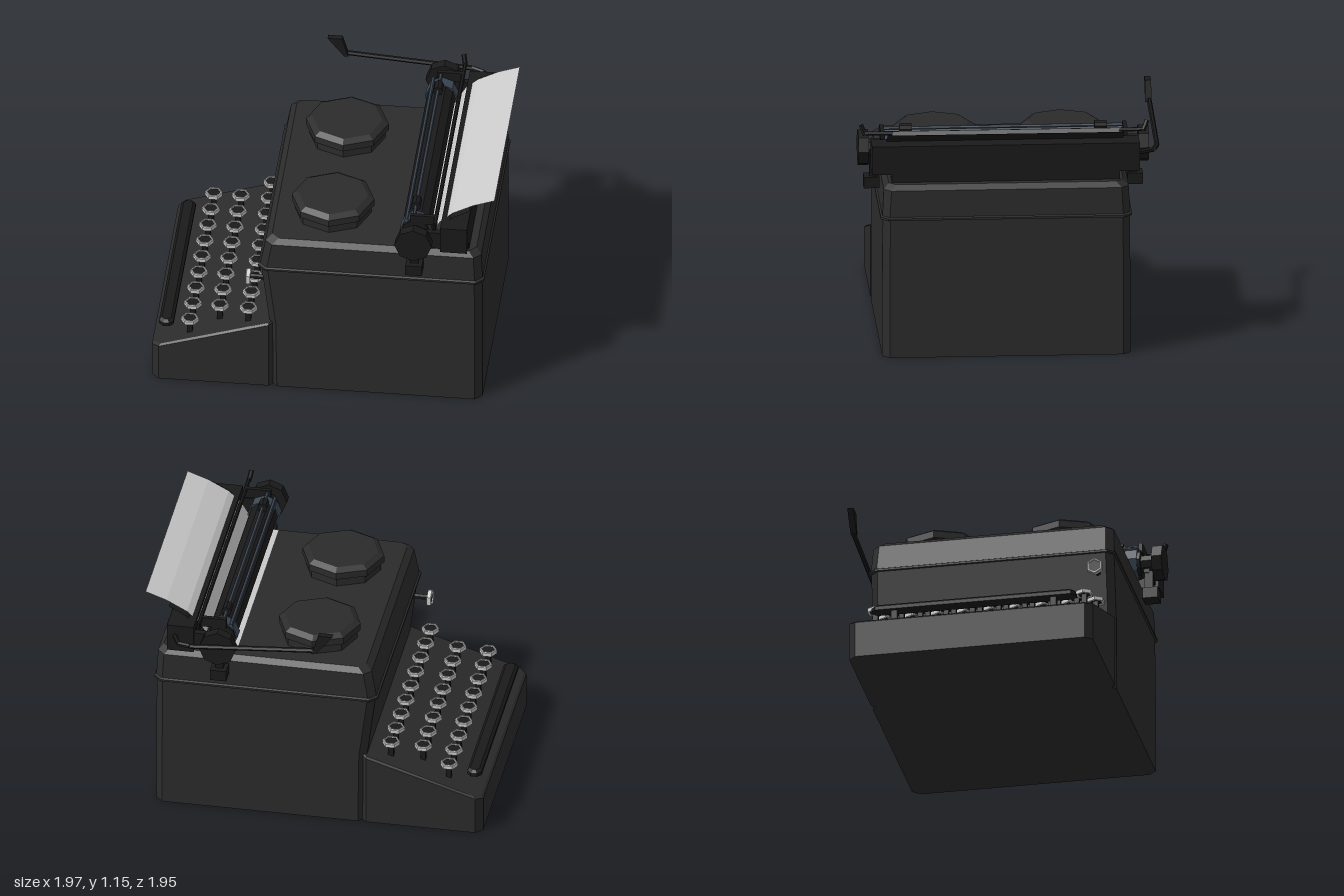
import * as THREE from 'three';

const mat = (color, side = THREE.FrontSide) =>
  new THREE.MeshStandardMaterial({ color, side, flatShading: true });
const shell = mat(0x2b2b2b), black = mat(0x1a1a1a), steel = mat(0x3c4856);
const grey = mat(0xcccccc), sheet = mat(0xcccccc, THREE.DoubleSide);

function add(parent, name, geometry, material, x = 0, y = 0, z = 0) {
  const mesh = new THREE.Mesh(geometry, material);
  mesh.name = name;
  mesh.position.set(x, y, z);
  parent.add(mesh);
  return mesh;
}

const box = (parent, name, m, w, h, d, x, y, z) =>
  add(parent, name, new THREE.BoxGeometry(w, h, d), m, x, y, z);

// Cylinder lying along x
function roller(parent, name, m, r, length, x, y, z, sides = 8) {
  const g = new THREE.CylinderGeometry(r, r, length, sides).rotateZ(Math.PI / 2);
  return add(parent, name, g, m, x, y, z);
}

// Straight round bar between two points
function bar(parent, name, m, r, a, b) {
  const path = new THREE.LineCurve3(new THREE.Vector3(...a), new THREE.Vector3(...b));
  return add(parent, name, new THREE.TubeGeometry(path, 1, r, 6), m);
}

// Stack of corner-cut rectangles: { y, yBack, w, front, back, cut }
function loft(rings) {
  const loops = rings.map(({ y, yBack = y, w, front, back, cut }) => {
    const c = cut;
    const pts = [[w - c, front], [w, front - c], [w, back + c], [w - c, back],
      [c - w, back], [-w, back + c], [-w, front - c], [c - w, front]];
    return pts.map(([x, z]) => [x, y + (yBack - y) * (front - z) / (front - back), z]);
  });
  const out = [];
  const tri = (...p) => p.forEach((v) => out.push(...v));
  for (let j = 0; j < 8; j++) {
    const k = (j + 1) % 8;
    for (let i = 0; i + 1 < loops.length; i++) {
      const [a, b, c, d] = [loops[i][j], loops[i][k], loops[i + 1][k], loops[i + 1][j]];
      tri(a, b, c);
      tri(a, c, d);
    }
    if (j > 0 && j < 7) {
      const top = loops[loops.length - 1], bottom = loops[0];
      tri(top[0], top[j], top[k]);
      tri(bottom[0], bottom[k], bottom[j]);
    }
  }
  const g = new THREE.BufferGeometry();
  g.setAttribute('position', new THREE.Float32BufferAttribute(out, 3));
  g.computeVertexNormals();
  return g;
}

// Hexagonal key top: grey ring round a dark pad
function keyTop(parent, name) {
  const key = new THREE.Group();
  key.name = name;
  const profile = [[0.031, -0.01], [0.043, -0.01], [0.043, 0.008], [0.039, 0.012],
    [0.033, 0.012], [0.031, -0.01]].map(([r, y]) => new THREE.Vector2(r, y));
  add(key, 'keyRing', new THREE.LatheGeometry(profile, 6), grey);
  add(key, 'keyPad', new THREE.CylinderGeometry(0.033, 0.033, 0.012, 6), black);
  parent.add(key);
  return key;
}

function createBody(parent) {
  const cut = 0.035;
  add(parent, 'housing', loft([
    { y: 0, w: 0.598, front: 0.23, back: -0.797, cut },
    { y: 0.37, w: 0.598, front: 0.235, back: -0.797, cut },
    { y: 0.69, w: 0.595, front: 0.275, back: -0.795, cut },
    { y: 0.69, w: 0.606, front: 0.288, back: -0.805, cut },
    { y: 0.7, w: 0.606, front: 0.288, back: -0.805, cut },
    { y: 0.705, w: 0.597, front: 0.279, back: -0.797, cut },
    { y: 0.835, w: 0.59, front: 0.255, back: -0.79, cut },
    { y: 0.86, w: 0.565, front: 0.225, back: -0.765, cut },
  ]), shell);
  add(parent, 'keyboardBase', loft([
    { y: 0, w: 0.598, front: 0.803, back: 0.2, cut },
    { y: 0.18, yBack: 0.37, w: 0.598, front: 0.803, back: 0.2, cut },
    { y: 0.19, yBack: 0.38, w: 0.588, front: 0.793, back: 0.2, cut },
  ]), shell);

  // Ribbon spool covers
  const spool = [[0.185, 0], [0.185, 0.043], [0.2, 0.045], [0.2, 0.08], [0.17, 0.098], [0, 0.098]]
    .map(([r, y]) => new THREE.Vector2(r, y));
  for (const x of [-0.308, 0.308])
    add(parent, 'spoolCover', new THREE.LatheGeometry(spool, 8), shell, x, 0.86, -0.045);

  // Small knob on the front panel
  const knob = keyTop(parent, 'frontKnob');
  knob.rotation.x = Math.PI / 2;
  knob.position.set(0.52, 0.59, 0.34);
  bar(parent, 'frontKnobShaft', black, 0.014, [0.52, 0.59, 0.24], [0.52, 0.59, 0.335]);
}

function createKeys(parent) {
  const pitch = 0.128;
  const rows = [[9, 0.315, 0.623], [8, 0.362, 0.485], [9, 0.405, 0.34]];
  for (const [count, y, z] of rows)
    for (let i = 0; i < count; i++) {
      const x = 0.015 + (i - (count - 1) / 2) * pitch;
      keyTop(parent, 'key').position.set(x, y, z);
      box(parent, 'keyStem', black, 0.025, 0.1, 0.025, x, y - 0.055, z);
    }
  // Space bar with tapered ends
  const spaceBar = loft([
    { y: 0.25, w: 0.5, front: 0.035, back: -0.035, cut: 0.02 },
    { y: 0.268, w: 0.5, front: 0.035, back: -0.035, cut: 0.02 },
    { y: 0.28, w: 0.485, front: 0.022, back: -0.022, cut: 0.015 },
  ]);
  add(parent, 'spaceBar', spaceBar, black, 0.01, 0, 0.742);
  for (const x of [-0.38, 0.4])
    box(parent, 'spaceBarStem', black, 0.03, 0.08, 0.03, x, 0.22, 0.742);
}

function createCarriage(parent) {
  const y = 0.965, z = -0.475;
  roller(parent, 'platen', black, 0.07, 1.18, 0, y, z, 10);
  box(parent, 'carriageBase', black, 1.1, 0.06, 0.14, 0, 0.88, -0.66);
  box(parent, 'carriageRail', black, 1.29, 0.14, 0.13, 0, 0.97, -0.665);
  roller(parent, 'paperBail', steel, 0.009, 1.16, 0, 1.055, -0.467, 6);
  roller(parent, 'frontRod', steel, 0.009, 1.16, 0, 1.03, -0.43, 6);
  roller(parent, 'rearRod', black, 0.01, 1.36, 0, 1.062, -0.575, 6);

  for (const s of [-1, 1]) {
    roller(parent, 'platenCollar', steel, 0.078, 0.06, s * 0.545, y, z);
    roller(parent, 'platenHub', black, 0.045, 0.11, s * 0.61, y, z);
    roller(parent, 'platenKnob', black, 0.09, 0.05, s * 0.675, y, z);
    roller(parent, 'bailRoller', black, 0.024, 0.06, s * 0.47, 1.055, -0.467);
    box(parent, 'carriageEnd', black, 0.03, 0.09, 0.2, s * 0.615, 0.955, -0.55);
    box(parent, 'bailArm', black, 0.02, 0.05, 0.13, s * 0.585, 1.045, -0.515);
    bar(parent, 'bailHook', black, 0.012, [s * 0.67, 1.055, -0.575], [s * 0.69, 1.105, -0.565]);
    box(parent, 'latchStem', black, 0.04, 0.12, 0.04, s * 0.625, 0.86, z);
    box(parent, 'latchFoot', black, 0.075, 0.055, 0.08, s * 0.635, 0.797, z);
  }

  // Return lever and its paddle
  const bend = [[-0.62, 0.98, -0.7], [-0.715, 0.985, -0.66], [-0.735, 0.99, -0.6], [-0.732, 1.035, 0]];
  for (let i = 0; i < 3; i++) bar(parent, 'returnLever', black, 0.012, bend[i], bend[i + 1]);
  const paddle = new THREE.BoxGeometry(0.03, 0.1, 0.07);
  const p = paddle.attributes.position;
  for (let i = 0; i < p.count; i++)
    if (p.getY(i) < 0) p.setZ(i, p.getZ(i) * 0.3 - 0.055);
  paddle.computeVertexNormals();
  add(parent, 'leverPaddle', paddle, black, -0.728, 1.076, 0.062);
}

// Flat strip following a side profile of [z, y] points
function strip(width, profile) {
  const g = new THREE.PlaneGeometry(width, 1, 1, profile.length - 1);
  const p = g.attributes.position;
  for (let i = 0; i < p.count; i++) {
    const [z, y] = profile[Math.floor(i / 2)];
    p.setXYZ(i, p.getX(i), y, z);
  }
  g.computeVertexNormals();
  return g;
}

function createPaper(parent) {
  add(parent, 'paper', strip(1.096, [[-0.853, 1.155], [-0.75, 1.118], [-0.65, 1.065],
    [-0.59, 1.01], [-0.555, 0.95], [-0.525, 0.9], [-0.475, 0.876], [-0.405, 0.87]]), sheet);
  add(parent, 'paperRest', strip(1.14, [[-0.735, 1.098], [-0.655, 1.055], [-0.6, 1.005]]),
    mat(0x1a1a1a, THREE.DoubleSide));
}

export function createModel() {
  const model = new THREE.Group();
  model.name = 'typewriter';
  // The machine stands turned on its base
  const machine = new THREE.Group();
  machine.name = 'machine';
  machine.rotation.y = -0.815;
  model.add(machine);
  for (const build of [createBody, createKeys, createCarriage, createPaper]) build(machine);
  return model;
}
